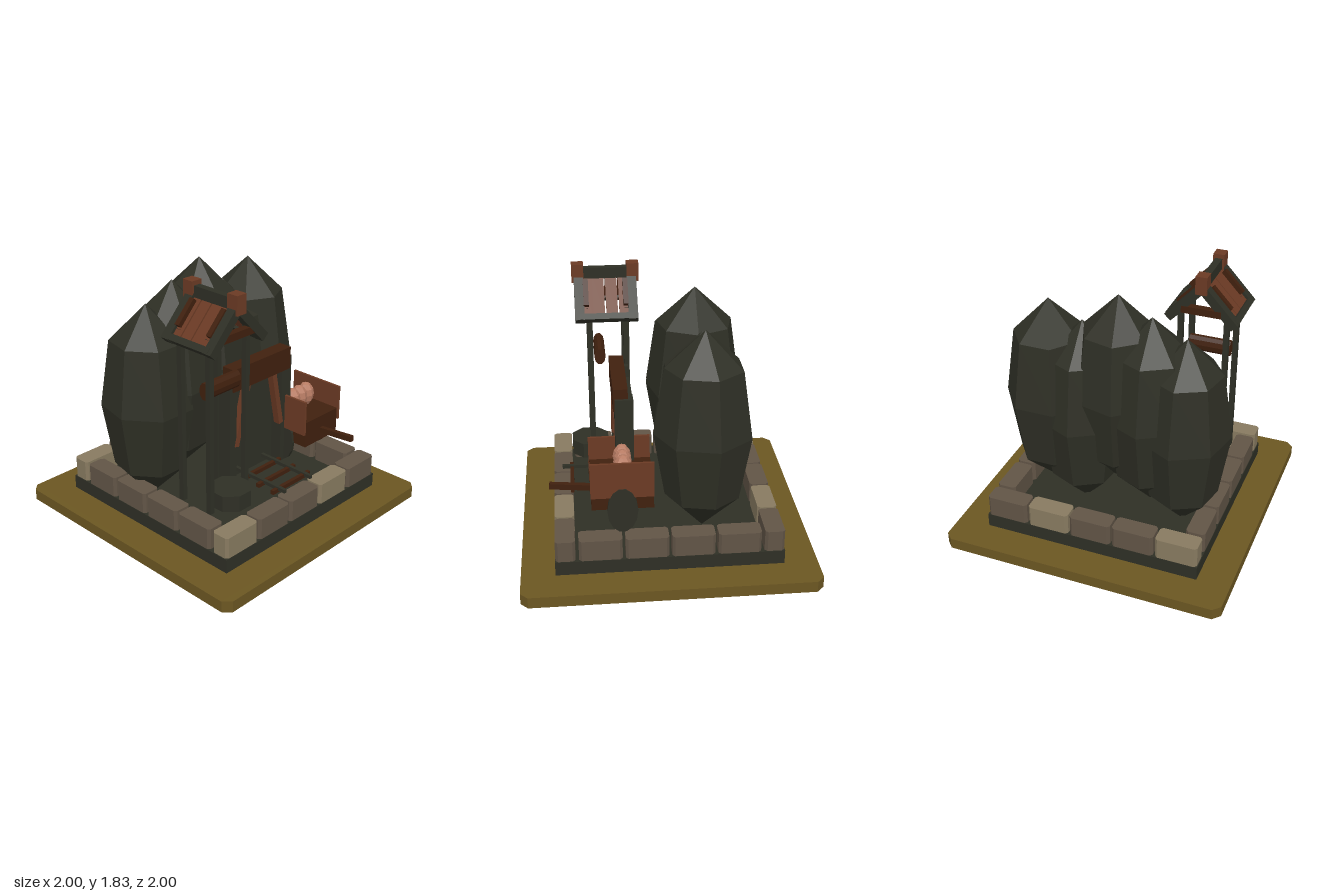
import * as THREE from 'three';

const mat = (name, color) => {
  const m = new THREE.MeshStandardMaterial({ color, flatShading: true });
  m.name = name;
  return m;
};

export function createModel() {
  const root = new THREE.Group();
  root.name = 'mineYard';
  const earth = mat('earth', 0x6b5622), dark = mat('darkStone', 0x2e2f25);
  const brown = mat('darkWood', 0x40200e), red = mat('redWood', 0x6b3a24);
  const pale = mat('paleStone', 0x877a60), grey = mat('greyStone', 0x615446);
  const ore = mat('ore', 0xb87c64);

  const add = (name, geo, m, parent = root) => {
    const mesh = new THREE.Mesh(geo, m);
    mesh.name = name;
    parent.add(mesh);
    return mesh;
  };
  // Box given by its limits on each axis
  const box = (name, m, x0, x1, y0, y1, z0, z1, parent = root) => {
    const mesh = add(name, new THREE.BoxGeometry(x1 - x0, y1 - y0, z1 - z0), m, parent);
    mesh.position.set((x0 + x1) / 2, (y0 + y1) / 2, (z0 + z1) / 2);
    return mesh;
  };
  // Upright slab with cut corners
  const slab = (name, m, x0, x1, y0, y1, z0, z1, c) => {
    const s = new THREE.Shape();
    const a = (x1 - x0) / 2, b = (z1 - z0) / 2;
    [[a - c, b], [a, b - c], [a, c - b], [a - c, -b], [c - a, -b], [-a, c - b], [-a, b - c], [c - a, b]]
      .reverse().forEach(([x, y], i) => (i ? s.lineTo(x, y) : s.moveTo(x, y)));
    const g = new THREE.ExtrudeGeometry(s, { depth: y1 - y0, bevelEnabled: false }).rotateX(-Math.PI / 2);
    add(name, g, m).position.set((x0 + x1) / 2, y0, (z0 + z1) / 2);
  };
  // Bar in the xy plane between two points
  const bar = (name, m, xa, ya, xb, yb, thick, z0, z1, parent = root) => {
    const len = Math.hypot(xb - xa, yb - ya);
    const mesh = add(name, new THREE.BoxGeometry(len, thick, z1 - z0), m, parent);
    mesh.position.set((xa + xb) / 2, (ya + yb) / 2, (z0 + z1) / 2);
    mesh.rotation.z = Math.atan2(yb - ya, xb - xa);
  };

  // Ground and plinth
  slab('ground', earth, -1, 1, 0, 0.08, -1, 1, 0.05);
  box('plinth', dark, -0.77, 0.77, 0.08, 0.18, -0.77, 0.77);

  // Border stones: front and back rows, then the sides
  for (let i = 0; i < 5; i++) {
    const x = -0.617 + i * 0.3085, m = i % 3 === 0 ? pale : grey;
    for (const z of [-0.7, 0.7]) slab('borderStone', m, x - 0.147, x + 0.147, 0.18, 0.33, z - 0.067, z + 0.067, 0.018);
  }
  for (let i = 0; i < 4; i++) {
    const z = -0.465 + i * 0.31;
    for (const x of [-0.7, 0.7]) slab('borderStone', grey, x - 0.067, x + 0.067, 0.18, 0.33, z - 0.145, z + 0.145, 0.018);
  }

  // Tall faceted rocks: x, centre height, z, turn
  const rocks = [[-0.49, 0.85, -0.25, Math.PI], [-0.25, 0.96, -0.25, 0.5], [-0.01, 1.07, -0.23, 1.57],
    [0.24, 0.85, -0.25, 2.3], [0.485, 0.96, -0.24, 0]];
  const profile = [[0, -0.72], [0.25, -0.46], [0.325, 0], [0.255, 0.47], [0, 0.72]];
  for (const [x, y, z, turn] of rocks) {
    const g = new THREE.LatheGeometry(profile.map(p => new THREE.Vector2(...p)), 7);
    g.rotateY(turn + Math.PI / 2 - Math.PI / 2 * 2).rotateY(Math.PI / 2).scale(0.97, 1, 1.03);
    add('rock', g, dark).position.set(x, y, z);
  }

  // Hoist with a gabled roof
  const hoist = new THREE.Group();
  hoist.name = 'hoist';
  hoist.position.x = -0.45;
  root.add(hoist);
  for (const x of [-0.163, 0.163]) for (const z of [0.215, 0.47])
    box('hoistPost', dark, x - 0.018, x + 0.018, 0.33, 1.56, z - 0.019, z + 0.019, hoist);
  const drum = add('drum', new THREE.CylinderGeometry(0.06, 0.06, 0.3, 10).rotateZ(Math.PI / 2).scale(1, 1, 0.66), brown, hoist);
  drum.position.set(0, 1.18, 0.405);
  box('ridgeBeam', dark, -0.025, 0.025, 1.72, 1.8, 0.18, 0.52, hoist);
  for (const z of [0.158, 0.543]) {
    box('ridgeBlock', red, -0.04, 0.04, 1.7, 1.83, z - 0.042, z + 0.042, hoist);
    box('roofTie', brown, -0.14, 0.14, 1.54, 1.59, z - 0.025, z + 0.025, hoist);
  }
  for (const s of [-1, 1]) {
    for (const z of [0.167, 0.537])
      bar('rafter', dark, 0, 1.735, s * 0.235, 1.485, 0.062, z - 0.033, z + 0.033, hoist);
    bar('eaveBeam', dark, s * 0.205, 1.52, s * 0.235, 1.488, 0.062, 0.16, 0.54, hoist);
    for (const z of [0.222, 0.312, 0.402, 0.482])
      bar('roofPlank', red, 0, 1.735, s * 0.215, 1.508, 0.02, z - 0.04, z + 0.04, hoist);
    for (const z of [0.215, 0.49])
      bar('roofBatten', brown, s * 0.04, 1.715, s * 0.175, 1.573, 0.055, z - 0.018, z + 0.018, hoist);
  }
  add('tub', new THREE.CylinderGeometry(0.145, 0.145, 0.115, 8).rotateY(Math.PI / 8), dark).position.set(-0.445, 0.412, 0.49);

  // Mine gate
  box('tunnelMouth', dark, -0.2, 0.235, 0.33, 1.06, 0.205, 0.25);
  box('gatePost', dark, 0.225, 0.322, 0.33, 1.13, 0.21, 0.335);
  box('gatePost', dark, -0.29, -0.225, 0.33, 1.13, 0.21, 0.335);
  box('gateBeam', brown, -0.265, 0.3, 1.04, 1.2, 0.245, 0.345);
  bar('gateBrace', red, -0.11, 1.06, -0.225, 0.62, 0.04, 0.29, 0.34);
  bar('gateBrace', red, 0.14, 1.06, 0.225, 0.64, 0.04, 0.29, 0.34);

  // Track
  for (const x of [-0.137, 0.13]) box('rail', dark, x - 0.012, x + 0.012, 0.375, 0.4, 0.19, 0.705);
  for (const z of [0.37, 0.505, 0.637]) box('sleeper', brown, -0.195, 0.185, 0.36, 0.39, z - 0.013, z + 0.013);

  // Cart
  const cart = new THREE.Group();
  cart.name = 'cart';
  root.add(cart);
  box('cartBody', brown, 0.285, 0.63, 0.485, 0.675, 0.1, 0.515, cart);
  for (const x of [0.273, 0.645]) {
    box('cartSide', red, x - 0.009, x + 0.009, 0.585, 0.84, 0.1, 0.52, cart);
    const wheel = add('wheel', new THREE.CylinderGeometry(0.165, 0.165, 0.025, 14).rotateZ(Math.PI / 2).scale(1, 1, 0.62), dark, cart);
    wheel.position.set(x + 0.006, 0.49, 0.31);
  }
  const handle = box('handle', brown, 0.443, 0.477, 0.555, 0.595, 0.47, 0.79, cart);
  handle.rotation.x = -0.09;
  for (const x of [0.39, 0.463, 0.536]) {
    const lump = add('oreLump', new THREE.SphereGeometry(1, 8, 6).scale(0.062, 0.088, 0.062), ore, cart);
    lump.position.set(x, 0.752, 0.297);
  }
  return root;
}
